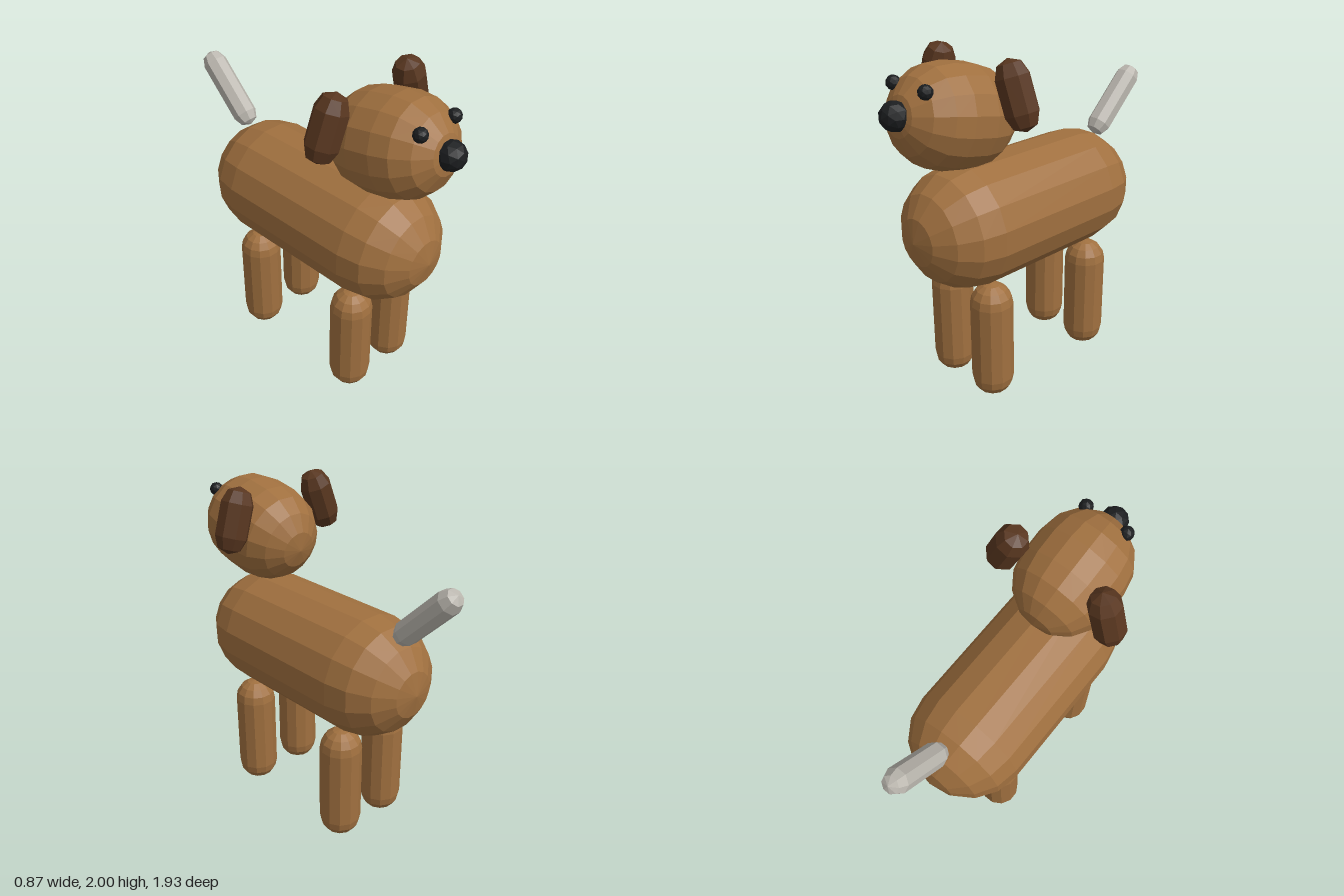
import * as THREE from 'three';

const material = (name, color) =>
  Object.assign(new THREE.MeshStandardMaterial({ color, flatShading: true }), { name });

export function createModel() {
  const group = new THREE.Group();
  group.name = 'dog';
  const fur = material('brown fur', 0xa0703f);
  const earFur = material('dark brown', 0x58361f);
  const grey = material('light grey', 0xbab6ae);
  const black = material('black', 0x1b1d1f);
  const rad = THREE.MathUtils.degToRad;

  function add(name, geometry, mat, position, rotation = [0, 0, 0]) {
    const mesh = new THREE.Mesh(geometry, mat);
    mesh.name = name;
    mesh.position.set(...position);
    mesh.rotation.set(...rotation.map(rad));
    group.add(mesh);
  }

  // Faceted capsule along y, turned half a facet so flat faces point along the axes
  const capsule = (radius, length, caps, sides) =>
    new THREE.CapsuleGeometry(radius, length, caps, sides).rotateY(Math.PI / sides);

  // Body and head
  add('body', capsule(0.353, 0.86, 4, 16), fur, [0, 1.04, 0.05], [90, 0, 0]);
  add('head', capsule(0.283, 0.15, 4, 16), fur, [0, 1.68, 0.537], [79, 0, 0]);

  // Face
  add('nose', new THREE.IcosahedronGeometry(0.08, 1), black, [0, 1.752, 0.89]);

  // Tail
  add('tail', capsule(0.073, 0.365, 2, 8), grey, [0, 1.51, -0.763], [-45, 0, 0]);

  // Mirrored parts
  for (const [side, s] of [['left', 1], ['right', -1]]) {
    add(side + 'Eye', new THREE.IcosahedronGeometry(0.04, 1), black, [0.13 * s, 1.878, 0.795]);
    add(side + 'Ear', capsule(0.094, 0.19, 2, 8), earFur, [0.32 * s, 1.82, 0.375], [3, 0, 19 * s]);
    add(side + 'FrontLeg', capsule(0.123, 0.48, 4, 12), fur, [0.175 * s, 0.366, 0.445]);
    add(side + 'BackLeg', capsule(0.123, 0.48, 4, 12), fur, [0.175 * s, 0.366, -0.34]);
  }
  return group;
}
